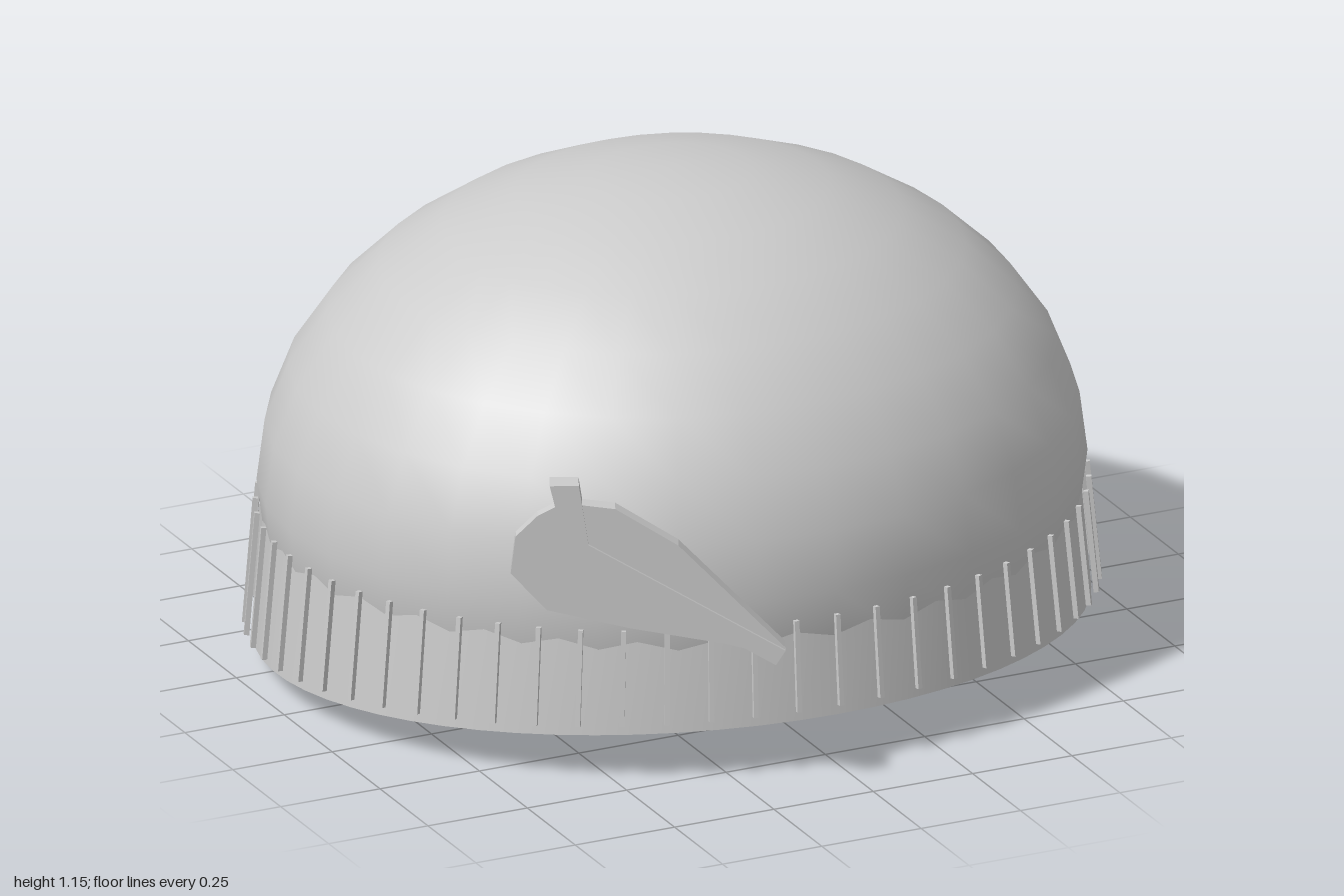
import * as THREE from 'three';

const CZ = -0.05; // centre of the cap in z
const mat = new THREE.MeshStandardMaterial({ color: 0xcccccc, side: THREE.DoubleSide });
const flatMat = new THREE.MeshStandardMaterial({ color: 0xcccccc, flatShading: true });

// height of the slanted lower rim, higher at the front
const rimY = (z) => 0.06 + 0.07 * (z - CZ);

// point on an ellipse around the cap
const ring = (a, rx, rz, y) => new THREE.Vector3(Math.sin(a) * rx, y, CZ + Math.cos(a) * rz);

function add(parent, name, geometry, material) {
  const mesh = new THREE.Mesh(geometry, material);
  mesh.name = name;
  parent.add(mesh);
  return mesh;
}

// open wall of the band, narrower at the top, cut slanted at the bottom
function bandGeometry() {
  const g = new THREE.CylinderGeometry(1, 1, 1, 64, 1, true);
  const p = g.attributes.position;
  for (let i = 0; i < p.count; i++) {
    const top = p.getY(i) > 0;
    const x = p.getX(i) * (top ? 0.943 : 0.97);
    const z = CZ + p.getZ(i) * (top ? 0.842 : 0.862);
    p.setXYZ(i, x, top ? 0.37 : rimY(z), z);
  }
  g.computeVertexNormals();
  // share the normals across the seam
  const n = g.attributes.normal;
  for (const row of [0, 65]) {
    n.setXYZ(row, 0, n.getY(row), 1);
    n.setXYZ(row + 64, 0, n.getY(row), 1);
  }
  return g;
}

// flat plate from [x, y] corners, stretched to suit the turned ornament
function plate(corners, depth, z) {
  const shape = new THREE.Shape(corners.map(([x, y]) => new THREE.Vector2((x + 0.46) * 1.103, y)));
  const g = new THREE.ExtrudeGeometry(shape, { depth, bevelEnabled: false });
  g.translate(0, 0, z - depth / 2);
  return g;
}

export function createModel() {
  const model = new THREE.Group();
  model.name = 'cap';

  // crown: an ellipsoid that tucks in behind the band
  const crown = new THREE.SphereGeometry(1, 32, 10, 0, Math.PI * 2, 0, Math.PI * 0.625);
  crown.scale(0.96, 0.73, 0.86);
  crown.translate(0, 0.42, CZ);
  add(model, 'crown', crown, mat);

  add(model, 'band', bandGeometry(), mat);

  // thin stitched ribs around the band
  const ribs = new THREE.Group();
  ribs.name = 'ribs';
  model.add(ribs);
  for (let i = 0; i < 60; i++) {
    const a = (i / 60) * Math.PI * 2;
    const top = ring(a, 0.963, 0.862, 0.365);
    const bottom = ring(a, 0.988, 0.882, 0);
    bottom.y = rimY(bottom.z) + 0.028;
    const up = top.clone().sub(bottom);
    const length = up.length();
    up.normalize();
    const out = new THREE.Vector3(Math.sin(a) / 0.96, 0, Math.cos(a) / 0.86).normalize();
    const side = up.clone().cross(out).normalize();
    out.crossVectors(side, up);
    const rib = add(ribs, 'rib', new THREE.BoxGeometry(0.011, length, 0.012), flatMat);
    rib.quaternion.setFromRotationMatrix(new THREE.Matrix4().makeBasis(side, up, out));
    rib.position.copy(top).add(bottom).multiplyScalar(0.5);
  }

  // feather standing against the front right of the cap
  const feather = new THREE.Group();
  feather.name = 'feather';
  feather.position.set(-0.46, 0, 0.785);
  feather.rotation.y = -0.436;
  model.add(feather);
  add(feather, 'upperVane', plate([
    [-0.6, 0.6], [-0.19, 0.34], [-0.18, 0.36], [-0.4, 0.61], [-0.53, 0.7], [-0.6, 0.71],
  ], 0.04, 0), flatMat);
  add(feather, 'lowerVane', plate([
    [-0.2, 0.335], [-0.6, 0.61], [-0.64, 0.71], [-0.69, 0.68], [-0.735, 0.63], [-0.745, 0.54],
    [-0.67, 0.45], [-0.5, 0.405], [-0.3, 0.365],
  ], 0.03, -0.005), flatMat);
  add(feather, 'shaft', plate([
    [-0.2, 0.32], [-0.18, 0.355], [-0.585, 0.615], [-0.605, 0.76], [-0.665, 0.76], [-0.63, 0.6],
  ], 0.056, 0), flatMat);

  return model;
}
